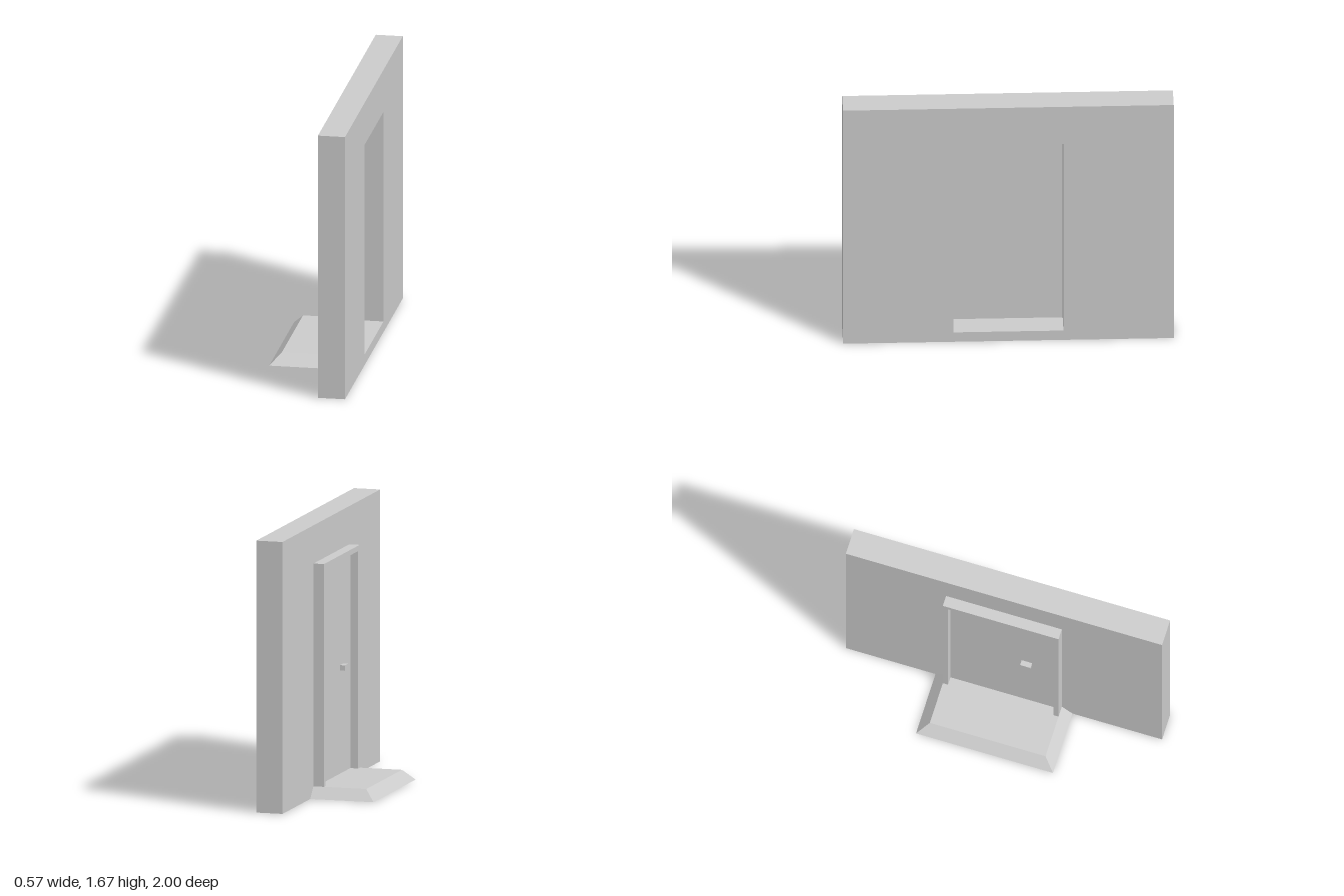
import * as THREE from 'three';

const material = new THREE.MeshStandardMaterial({ color: 0xcccccc, flatShading: true });

// Main levels: the step height carries the door, frame and opening
const STEP = 0.067, TOP = 1.4, HALF = 0.333, TRIM = 0.033;
const WALL_IN = 0.283, WALL_OUT = 0.117, FRAME_OUT = 0.05;

function rect(target, w, y0, y1) {
  target.moveTo(-w, y0);
  target.lineTo(w, y0);
  target.lineTo(w, y1);
  target.lineTo(-w, y1);
  target.closePath();
  return target;
}

function mesh(name, geometry) {
  const m = new THREE.Mesh(geometry, material);
  m.name = name;
  return m;
}

// Extrudes an upright outline (across, up) along x from x0 to x1
function slab(name, shape, x0, x1) {
  const g = new THREE.ExtrudeGeometry(shape, { depth: x1 - x0, bevelEnabled: false });
  g.rotateY(Math.PI / 2);
  g.translate(x0, 0, 0);
  return mesh(name, g);
}

function box(name, x0, x1, y0, y1, z0, z1) {
  const g = new THREE.BoxGeometry(x1 - x0, y1 - y0, z1 - z0);
  g.translate((x0 + x1) / 2, (y0 + y1) / 2, (z0 + z1) / 2);
  return mesh(name, g);
}

export function createModel() {
  const model = new THREE.Group();
  model.name = 'doorway';

  // Wall with the door opening
  const wall = rect(new THREE.Shape(), 1, 0, 1.667);
  wall.holes.push(rect(new THREE.Path(), HALF, STEP, TOP));
  model.add(slab('wall', wall, WALL_OUT, WALL_IN));

  // Projecting frame: two posts and a lintel in one outline
  const frame = new THREE.Shape();
  const o = HALF + TRIM;
  [[-o, STEP], [-HALF, STEP], [-HALF, TOP], [HALF, TOP], [HALF, STEP],
    [o, STEP], [o, TOP + TRIM], [-o, TOP + TRIM]]
    .forEach(([u, v], i) => (i ? frame.lineTo(u, v) : frame.moveTo(u, v)));
  frame.closePath();
  model.add(slab('frame', frame, FRAME_OUT, WALL_OUT));

  // Door leaf and its handle
  model.add(box('door', 0.1, 0.133, STEP, TOP, -HALF, HALF));
  model.add(box('handle', 0.067, 0.1, 0.7, 0.733, 0.117, 0.183));

  // Step with three sloping sides, the fourth against the wall
  const step = box('step', -0.283, WALL_OUT, 0, STEP, -0.433, 0.433);
  const p = step.geometry.attributes.position;
  for (let i = 0; i < p.count; i++) {
    if (p.getY(i) < STEP / 2) continue;
    p.setZ(i, Math.sign(p.getZ(i)) * o);
    if (p.getX(i) < 0) p.setX(i, -0.217);
  }
  step.geometry.computeVertexNormals();
  model.add(step);

  return model;
}
